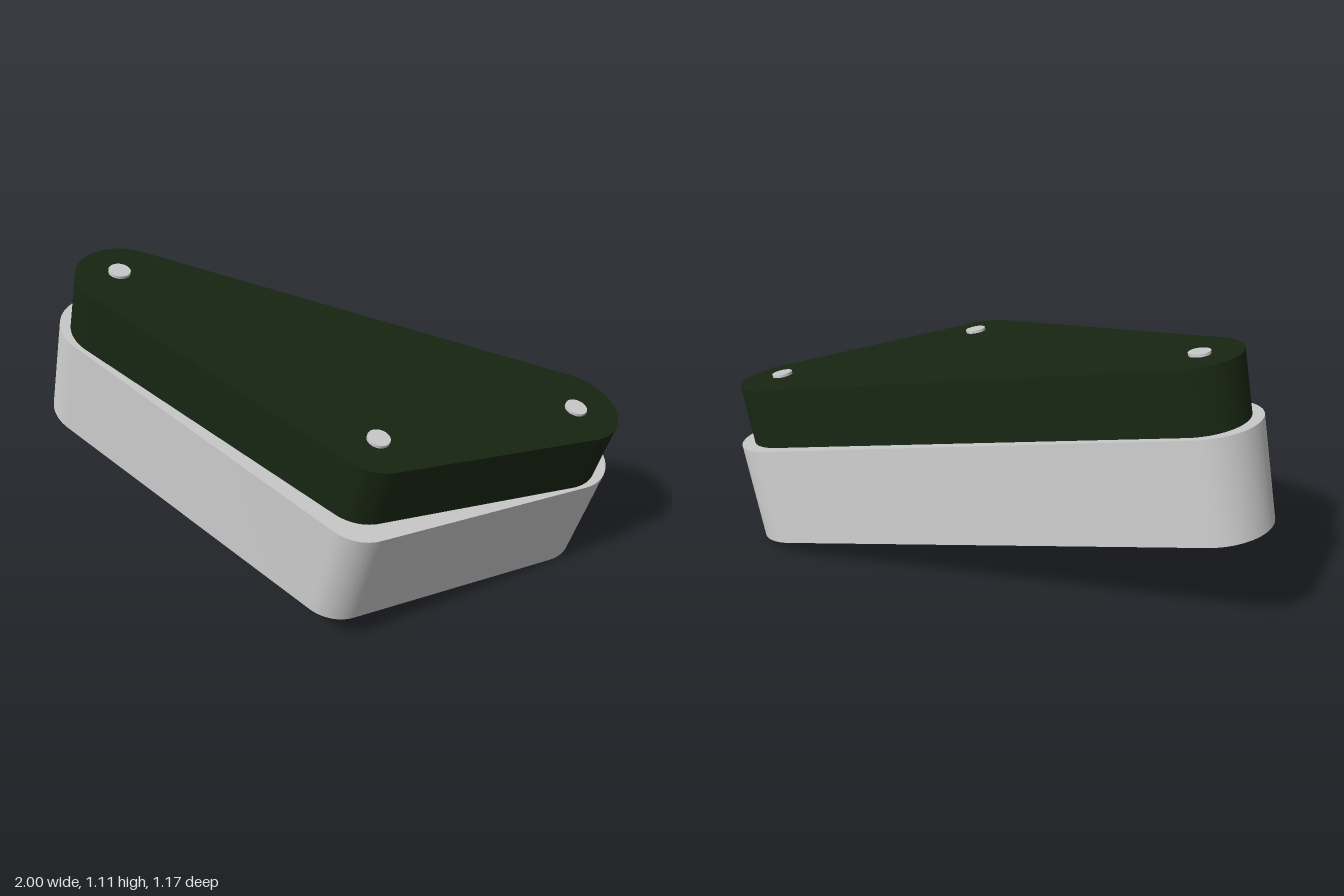
import * as THREE from 'three';
import { toCreasedNormals } from 'three/addons/utils/BufferGeometryUtils.js';

// Corner circles [x, z, radius], in counter-clockwise order of the shape plane
const BASE = [[0.2, 0.385, 0.2], [1.73, -0.39, 0.2], [1.4, 0.435, 0.15]];
const LID = [[0.23, 0.38, 0.185], [1.715, -0.355, 0.185], [1.35, 0.365, 0.155]];
const SCREWS = [[0.19, 0.38], [1.743, -0.355], [1.355, 0.36]];
const SCREW_RADIUS = 0.04;
const BASE_TOP = 0.4, LID_TOP = 0.64;

// Rounded triangle: arcs joined by their outer tangents
function roundedTriangle(corners) {
  const n = corners.length;
  const normals = corners.map(([x, z, r], i) => {
    const [x2, z2, r2] = corners[(i + 1) % n];
    const dx = x2 - x, dz = z2 - z;
    return Math.atan2(dz, dx) - Math.acos((r - r2) / Math.hypot(dx, dz));
  });
  const shape = new THREE.Shape();
  corners.forEach(([x, z, r], i) => {
    shape.absarc(x, z, r, normals[(i + n - 1) % n], normals[i], false);
  });
  shape.closePath();
  return shape;
}

// Upright slab between two heights, with smooth rounded corners
function slab(name, shape, bottom, top, material) {
  const geometry = new THREE.ExtrudeGeometry(shape, {
    depth: top - bottom, bevelEnabled: false, curveSegments: 16,
  });
  geometry.rotateX(Math.PI / 2).translate(0, top, 0);
  const mesh = new THREE.Mesh(toCreasedNormals(geometry, Math.PI / 6), material);
  mesh.name = name;
  return mesh;
}

export function createModel() {
  const grey = new THREE.MeshStandardMaterial({ color: 0xcccccc });
  const green = new THREE.MeshStandardMaterial({ color: 0x182612 });
  const model = new THREE.Group();
  model.name = 'tiltedCase';

  // Everything is built level, then tilted down towards +x
  const body = new THREE.Group();
  body.name = 'body';
  body.rotation.z = -Math.PI / 12;
  body.position.set(-1, 0.5, 0);
  model.add(body);

  // Base with screw holes open underneath
  const baseShape = roundedTriangle(BASE);
  for (const [x, z] of SCREWS) {
    const hole = new THREE.Path();
    hole.absarc(x, z, SCREW_RADIUS, 0, Math.PI * 2, true);
    baseShape.holes.push(hole);
  }
  body.add(slab('base', baseShape, 0, BASE_TOP, grey));

  // Smaller upper block
  body.add(slab('upperBlock', roundedTriangle(LID), BASE_TOP, LID_TOP, green));

  // Screw heads standing just proud of the upper block
  for (const [x, z] of SCREWS) {
    const screw = new THREE.Mesh(new THREE.CylinderGeometry(SCREW_RADIUS, SCREW_RADIUS, 0.03, 32), grey);
    screw.name = 'screwHead';
    screw.position.set(x, LID_TOP - 0.004, z);
    body.add(screw);
  }
  return model;
}
